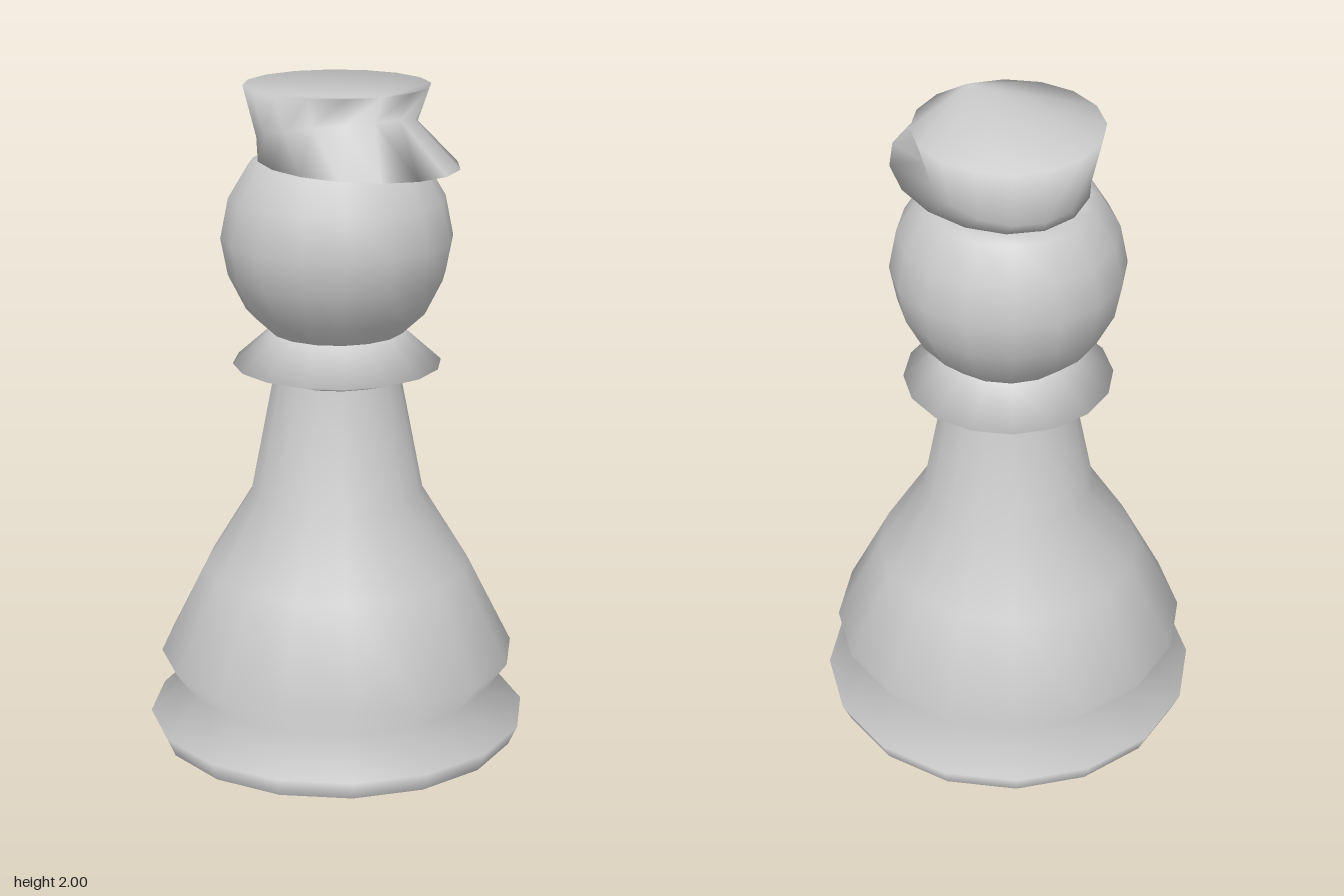
import * as THREE from 'three';

const SIDES = 16;
const material = new THREE.MeshStandardMaterial({ color: 0xcccccc, side: THREE.DoubleSide });

// Skin a stack of closed rings, given from bottom to top; each ring maps (sin, cos) to a point.
function loft(rings) {
  const positions = [];
  const index = [];
  for (const ring of rings) {
    for (let i = 0; i < SIDES; i++) {
      const a = (i / SIDES) * Math.PI * 2;
      positions.push(...ring(Math.sin(a), Math.cos(a)));
    }
  }
  for (let r = 0; r < rings.length - 1; r++) {
    for (let i = 0; i < SIDES; i++) {
      const j = (i + 1) % SIDES;
      const a = r * SIDES + i, b = r * SIDES + j;
      index.push(a, b, b + SIDES, a, b + SIDES, a + SIDES);
    }
  }
  // Flat caps fanned from the first corner of the end rings
  const top = (rings.length - 1) * SIDES;
  for (let i = 1; i < SIDES - 1; i++) {
    index.push(0, i + 1, i);
    index.push(top, top + i, top + i + 1);
  }
  const geometry = new THREE.BufferGeometry();
  geometry.setAttribute('position', new THREE.Float32BufferAttribute(positions, 3));
  geometry.setIndex(index);
  geometry.computeVertexNormals();
  return geometry;
}

function turned(name, profile) {
  const points = profile.map(([r, y]) => new THREE.Vector2(r, y));
  const mesh = new THREE.Mesh(new THREE.LatheGeometry(points, SIDES), material);
  mesh.name = name;
  return mesh;
}

export function createModel() {
  const group = new THREE.Group();
  group.name = 'cappedPawn';

  // Hollow turned body, open underneath
  group.add(turned('body', [
    [0.55, 0], [0.577, 0.06], [0.47, 0.165], [0.54, 0.26],
    [0.4, 0.54], [0.26, 0.77], [0.19, 1.13],
  ]));

  // Flared collar below the head
  group.add(turned('collar', [[0.19, 1.13], [0.312, 1.17], [0.2, 1.27]]));

  // Round head, flattened where the cap sits
  group.add(turned('head', [
    [0.2, 1.27], [0.27, 1.335], [0.323, 1.44], [0.344, 1.55],
    [0.32, 1.67], [0.26, 1.77], [0.22, 1.79], [0, 1.79],
  ]));

  // Cap: the lower ring stretches forward into a visor, the waist tilts up at the front
  const cap = new THREE.Mesh(loft([
    (s, c) => [0.272 * s, 1.795 + 0.005 * c, c > 0 ? 0.13 + 0.36 * c : 0.13 + 0.365 * c],
    (s, c) => [0.235 * s, 1.87 + 0.055 * c, 0.237 * c],
    (s, c) => [0.274 * s, 2, 0.274 * c],
  ]), material);
  cap.name = 'cap';
  group.add(cap);

  return group;
}
